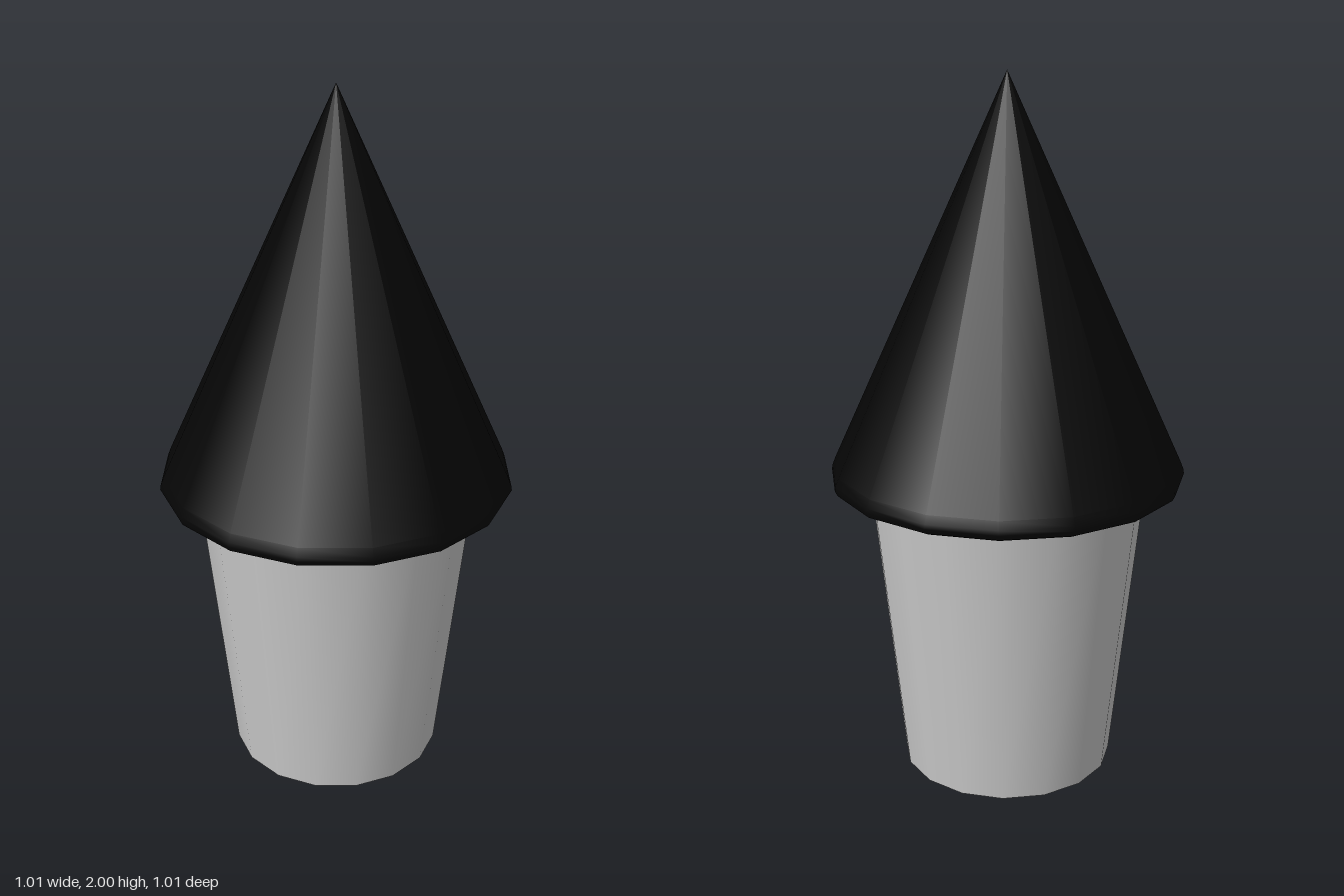
import * as THREE from 'three';

const SIDES = 16;

export function createModel() {
  const model = new THREE.Group();
  const grey = new THREE.MeshStandardMaterial({ color: 0xcccccc });
  const black = new THREE.MeshStandardMaterial({ color: 0x050505 });

  // Tapered cup, wider at the top, closed at both ends
  const cupHeight = 0.87;
  const cup = new THREE.Mesh(new THREE.CylinderGeometry(0.398, 0.307, cupHeight, SIDES), grey);
  cup.name = 'cup';
  cup.position.y = cupHeight / 2;
  model.add(cup);

  // Pointed cone top: flat underside, small rounded rim, straight slope to the tip
  const profile = [
    [0, 0.858], [0.46, 0.858], [0.482, 0.86], [0.498, 0.868],
    [0.505, 0.882], [0.503, 0.895], [0.494, 0.918], [0, 2],
  ].map(([r, y]) => new THREE.Vector2(r, y));
  const cone = new THREE.Mesh(new THREE.LatheGeometry(profile, SIDES), black);
  cone.name = 'coneTop';
  model.add(cone);

  return model;
}
